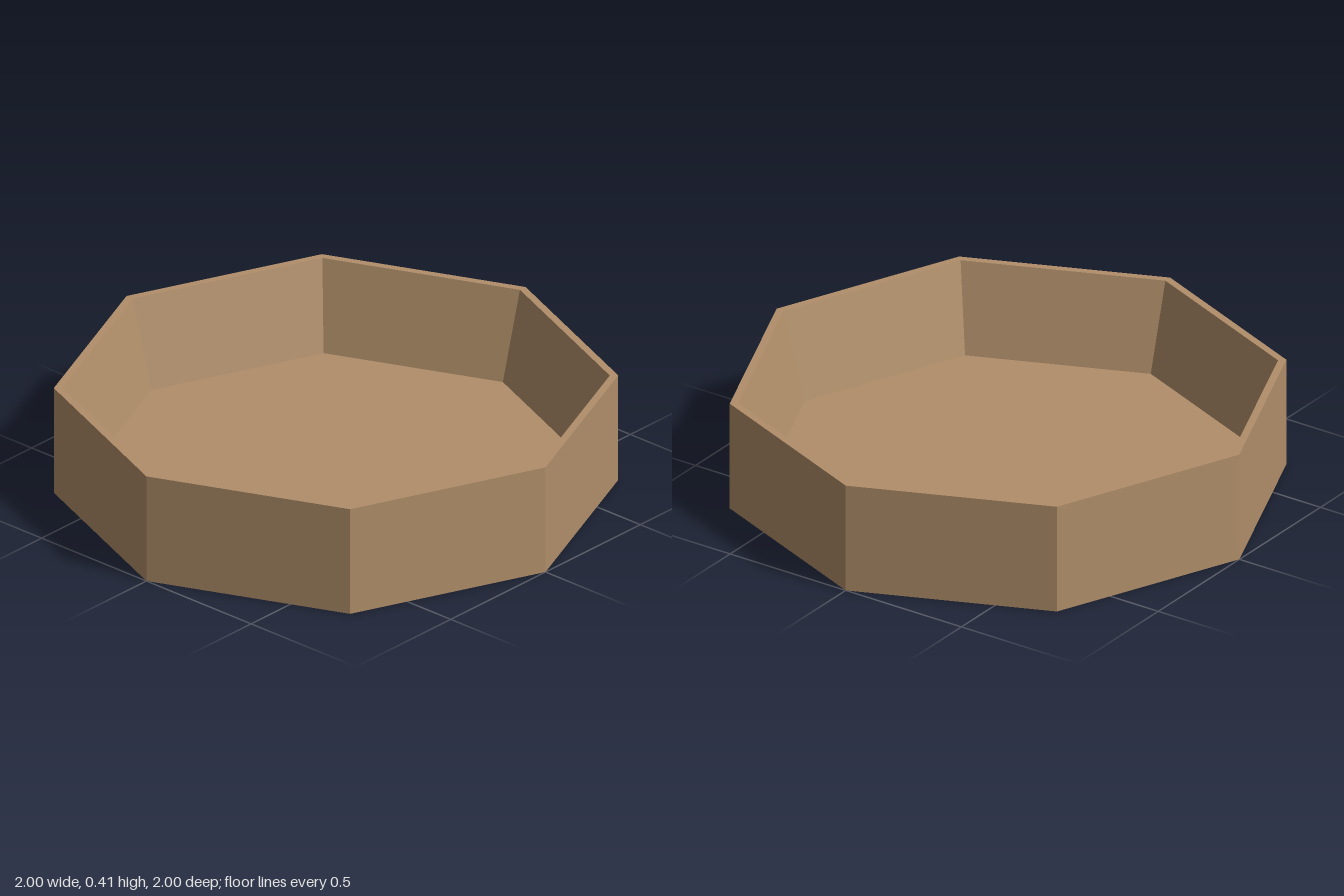
import * as THREE from 'three';

export function createModel() {
  const group = new THREE.Group();
  group.name = 'octagonalTray';

  const wood = new THREE.MeshStandardMaterial({ color: 0xb08e69, flatShading: true });
  wood.name = 'light brown';

  const sides = 8, height = 0.415, floorY = 0.083;
  const addPart = (name, profile) => {
    const points = profile.map(([r, y]) => new THREE.Vector2(r, y));
    const mesh = new THREE.Mesh(new THREE.LatheGeometry(points, sides), wood);
    mesh.name = name;
    group.add(mesh);
  };

  // Flat underside
  addPart('base', [[0, 0], [1, 0]]);
  // Upright outer wall, thin rim and sloping inner wall
  addPart('wall', [[1, 0], [1, height], [0.97, height], [0.88, floorY]]);
  // Raised inner floor
  addPart('floor', [[0.88, floorY], [0, floorY]]);

  return group;
}
